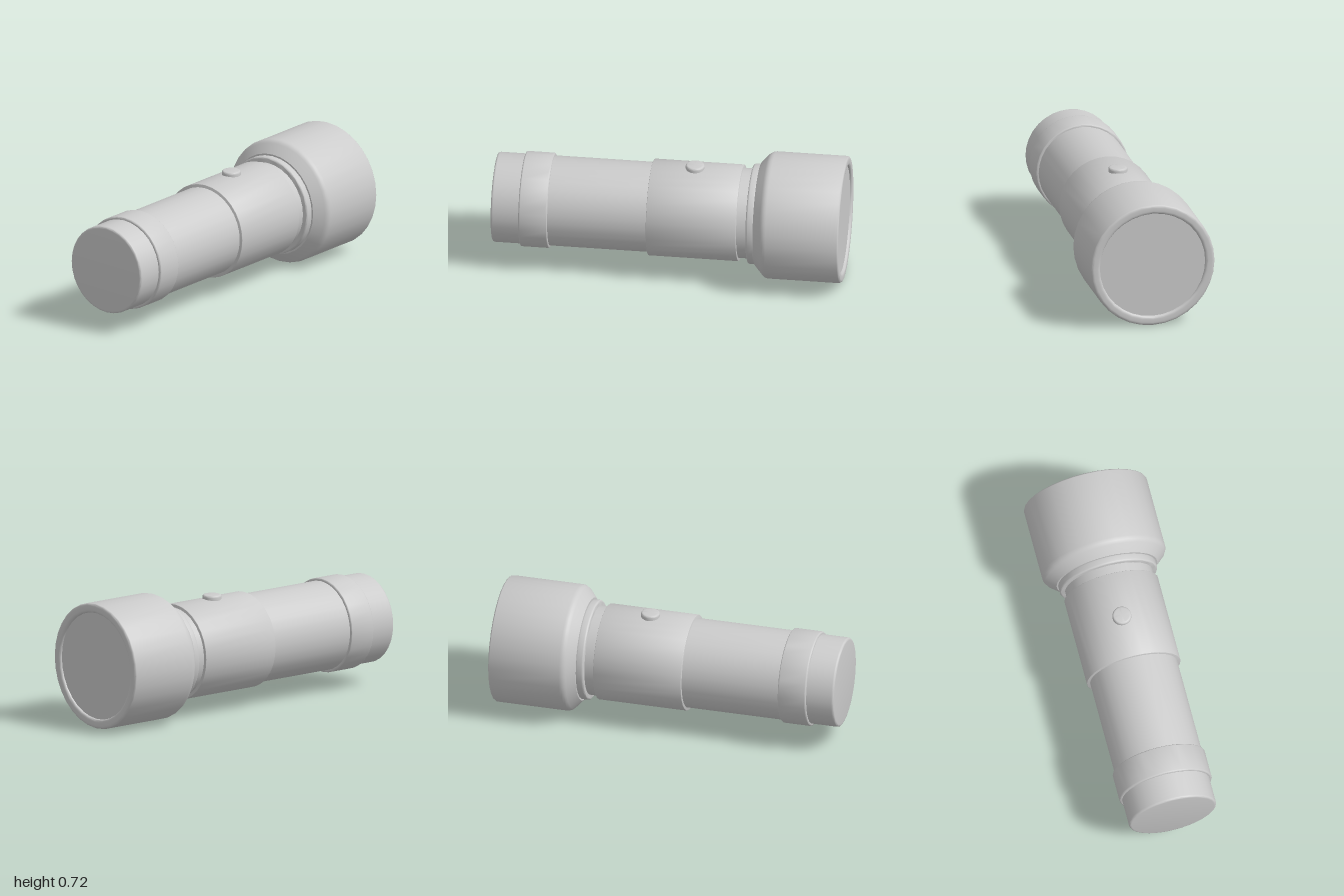
import * as THREE from 'three';
import { toCreasedNormals } from 'three/addons/utils/BufferGeometryUtils.js';

const AXIS_Y = 0.365;
const material = new THREE.MeshStandardMaterial({ color: 0xcccccc });

// Replaces a profile corner with a short rounded curve.
function roundCorner(prev, corner, next, size, steps = 4) {
  const toward = (p) => corner.clone().add(p.clone().sub(corner).setLength(size));
  return new THREE.QuadraticBezierCurve(toward(prev), corner, toward(next)).getPoints(steps);
}

// Lathed part from [radius, height, optional rounding] corners, listed bottom to top.
function lathe(name, corners, segments = 32) {
  const pts = corners.map(([r, h]) => new THREE.Vector2(r, h));
  const profile = corners.flatMap(([, , size], i) =>
    size ? roundCorner(pts[i - 1], pts[i], pts[i + 1], size) : [pts[i]]);
  const geometry = toCreasedNormals(new THREE.LatheGeometry(profile, segments), 0.65);
  const mesh = new THREE.Mesh(geometry, material);
  mesh.name = name;
  return mesh;
}

// Closed cylinder with softened rims.
const drum = (name, radius, from, to, soft) =>
  lathe(name, [[0, from], [radius, from, soft], [radius, to, soft], [0, to]]);

export function createModel() {
  const group = new THREE.Group();
  group.name = 'flashlight';

  // Barrel parts share one axis, laid along z
  const barrel = new THREE.Group();
  barrel.name = 'barrel';
  barrel.rotation.x = Math.PI / 2;
  barrel.position.y = AXIS_Y;
  barrel.add(
    drum('tube', 0.256, -0.52, 1, 0.014),
    drum('tailRing', 0.271, 0.675, 0.84, 0.01),
    drum('gripSleeve', 0.275, -0.405, 0.11, 0.004),
    drum('collar', 0.286, -0.51, -0.46, 0.012),
    // Flared head with a rounded bezel around the recessed lens
    lathe('head', [
      [0.307, -0.975], [0.307, -1, 0.018], [0.362, -1, 0.018],
      [0.362, -0.562, 0.022], [0.295, -0.503], [0, -0.503],
    ]),
    lathe('lens', [[0, -0.985], [0.309, -0.985], [0.309, -0.97], [0, -0.97]]),
  );
  group.add(barrel);

  // Switch button on top of the grip
  const button = lathe('switchButton', [[0, 0], [0.054, 0], [0.054, 0.052, 0.013], [0, 0.052]], 24);
  button.position.set(-0.006, 0.61, -0.138);
  group.add(button);

  return group;
}
